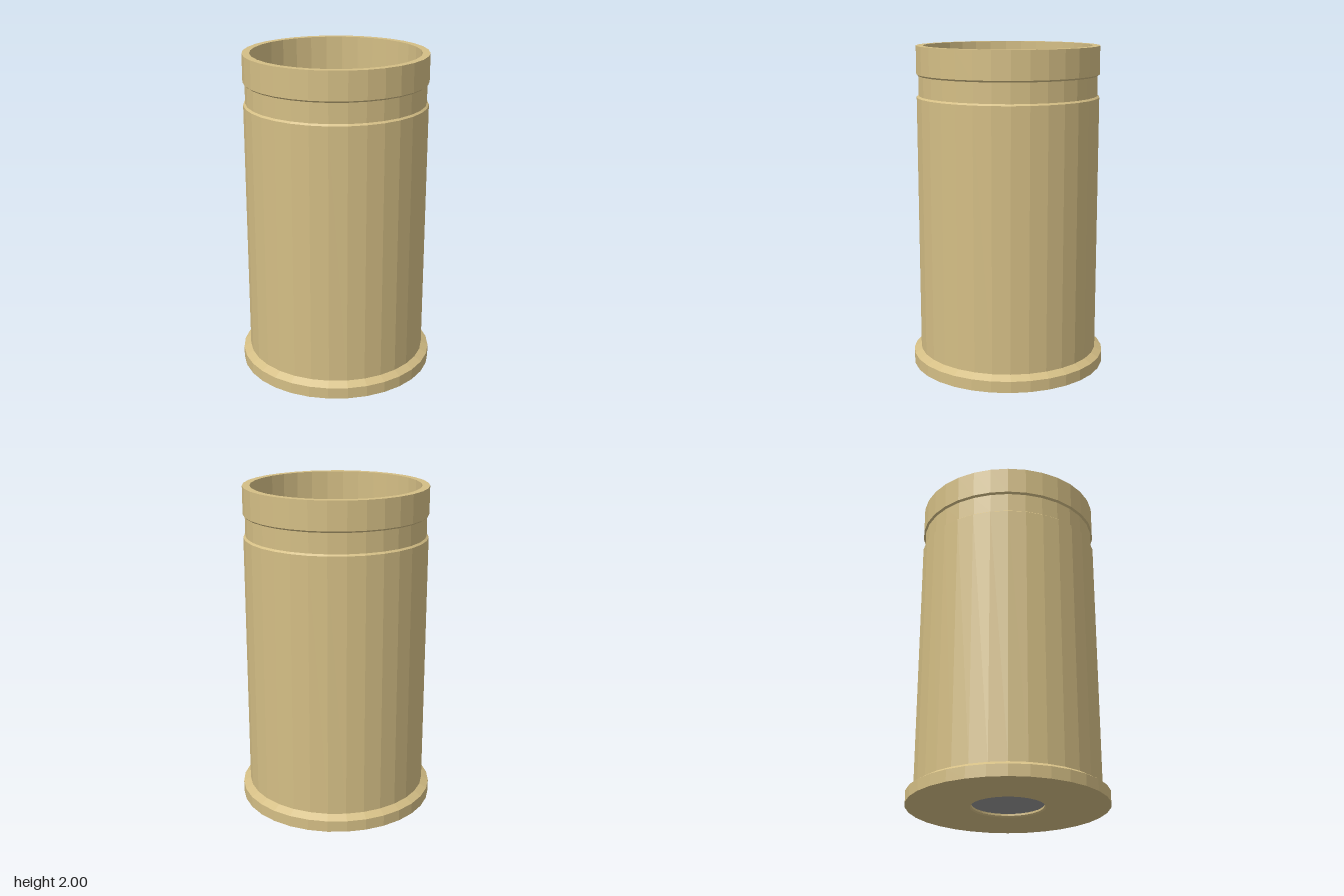
import * as THREE from 'three';

const SIDES = 32;

export function createModel() {
  const brass = new THREE.MeshStandardMaterial({ color: 0xd4be85, flatShading: true });
  brass.name = 'brass';
  const steel = new THREE.MeshStandardMaterial({ color: 0x949494, flatShading: true });
  steel.name = 'darkSteel';

  const group = new THREE.Group();
  group.name = 'casing';

  // Revolves a profile of [radius, height] points, listed outside going up
  const revolve = (name, profile, material) => {
    const points = profile.map(([r, y]) => new THREE.Vector2(r, y));
    const mesh = new THREE.Mesh(new THREE.LatheGeometry(points, SIDES), material);
    mesh.name = name;
    group.add(mesh);
  };

  // Base rim with a bevelled shoulder and a central socket
  revolve('baseRim', [
    [0.215, 0.03], [0.215, 0.008], [0.224, 0], [0.605, 0], [0.605, 0.07], [0.56, 0.097],
  ], brass);

  // Hollow tube: outer wall with crimp groove, lip, inner wall and floor
  revolve('tube', [
    [0.56, 0.097], [0.56, 1.69], [0.548, 1.7], [0.548, 1.82], [0.56, 1.83],
    [0.56, 2], [0.515, 2], [0.515, 0.1], [0, 0.1],
  ], brass);

  // Recessed disc in the base socket
  revolve('primer', [[0, 0.02], [0.215, 0.02]], steel);

  return group;
}
